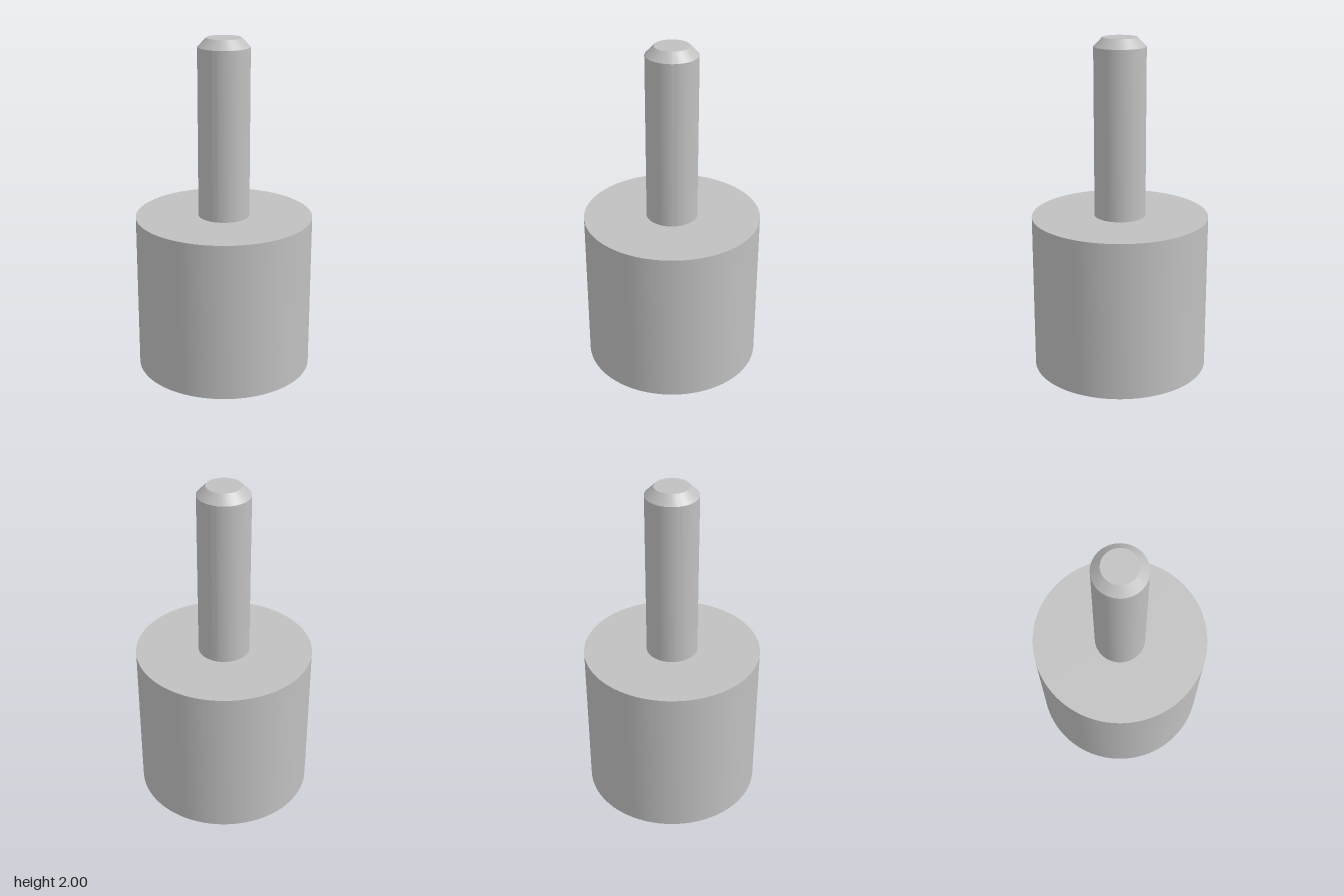
import * as THREE from 'three';
import { toCreasedNormals } from 'three/addons/utils/BufferGeometryUtils.js';

export function createModel() {
  const model = new THREE.Group();
  model.name = 'spigotAdapter';
  const steel = new THREE.MeshStandardMaterial({ name: 'steel grey', color: 0xc0c0c0 });

  const boreRadius = 0.279, boreTop = 0.63, chamfer = 0.053, flatZ = 0.197;

  // Turned body: blind bore, chamfered mouth, wide barrel, chamfered pin
  const profile = [
    [0, boreTop], [boreRadius, boreTop], [boreRadius, chamfer], [boreRadius + chamfer, 0],
    [0.526, 0], [0.526, 0.947], [0.152, 0.947], [0.152, 1.948], [0.101, 2], [0, 2],
  ].map(([r, y]) => new THREE.Vector2(r, y));
  const body = new THREE.Mesh(
    toCreasedNormals(new THREE.LatheGeometry(profile, 96), Math.PI / 6), steel);
  body.name = 'barrelAndPin';
  model.add(body);

  // Two D-shaped blocks give the bore its parallel flats
  const angle = Math.asin(flatZ / boreRadius);
  const segment = new THREE.Shape();
  segment.absarc(0, 0, boreRadius, angle, Math.PI - angle, false);
  segment.closePath();
  const blockGeometry = new THREE.ExtrudeGeometry(segment, {
    depth: boreTop - chamfer, bevelEnabled: false, curveSegments: 24,
  });
  blockGeometry.rotateX(Math.PI / 2).translate(0, boreTop, 0);
  for (const [name, turn] of [['frontBoreFlat', 0], ['backBoreFlat', Math.PI]]) {
    const block = new THREE.Mesh(blockGeometry, steel);
    block.name = name;
    block.rotation.y = turn;
    model.add(block);
  }

  return model;
}
